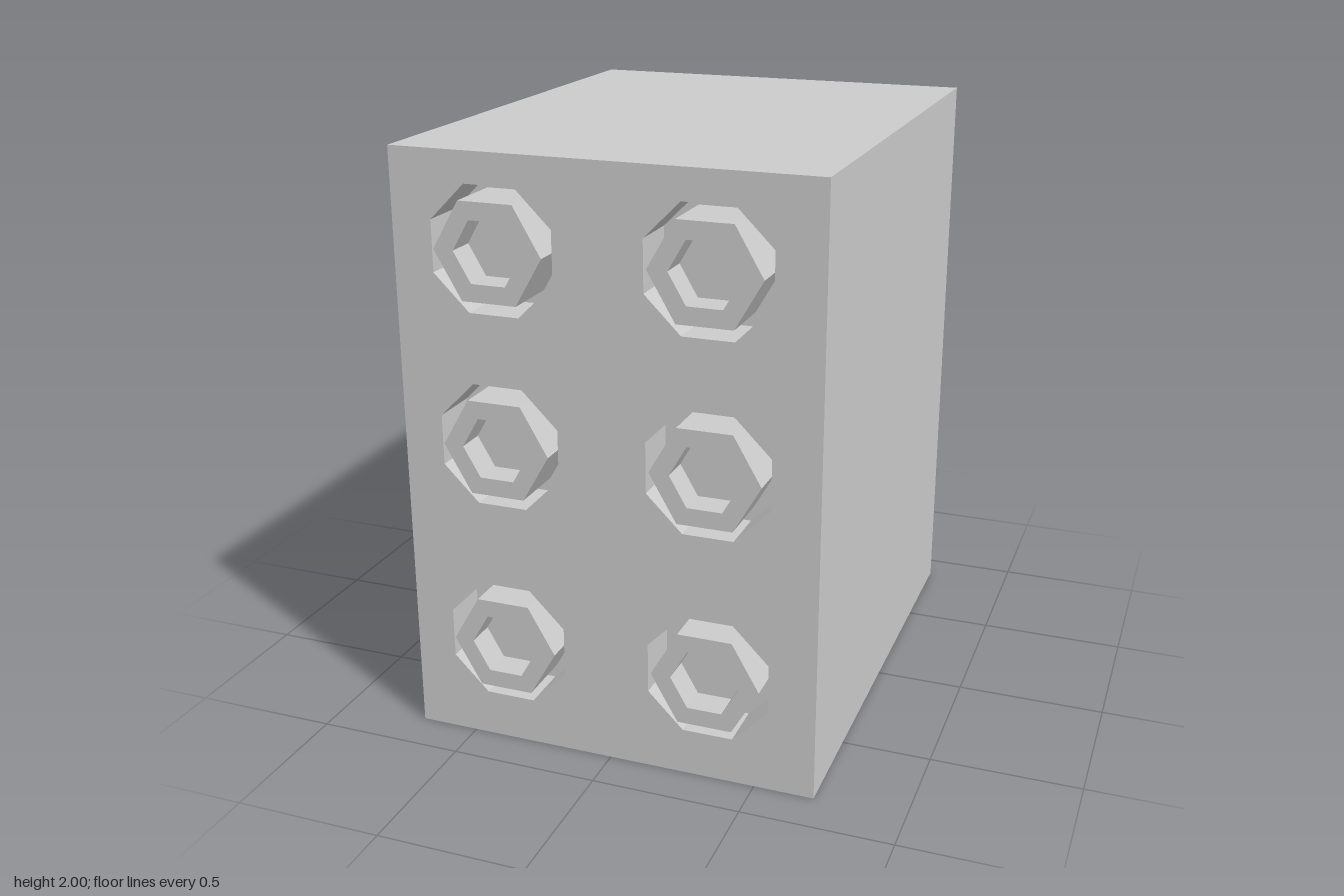
import * as THREE from 'three';

const W = 1.4, H = 2, FRONT = 0.85, BACK = -0.88, DEPTH = FRONT - BACK;
const CUP_R = 0.22, NUT_R = 0.182, BORE_R = 0.115;
const CUP_DEPTH = 0.17, NUT_FRONT = 0.88, NUT_BACK = 0.705, BORE_FLOOR = 0.78;

const mat = new THREE.MeshStandardMaterial({ color: 0xcccccc, flatShading: true, side: THREE.DoubleSide });

// Corners of a regular polygon around (cx, cy)
function ring(sides, r, turn = 0, cx = 0, cy = 0) {
  return Array.from({ length: sides }, (_, i) => {
    const a = turn + (i / sides) * Math.PI * 2;
    return new THREE.Vector2(cx + r * Math.cos(a), cy + r * Math.sin(a));
  });
}
const octagon = (cx, cy) => ring(8, CUP_R, Math.PI / 8, cx, cy);
const hexagon = (r) => ring(6, r);

function shape(outer, ...holes) {
  const s = new THREE.Shape(outer);
  holes.forEach((h) => s.holes.push(new THREE.Path(h)));
  return s;
}

function add(parent, name, geometry, x = 0, y = 0, z = 0) {
  const mesh = new THREE.Mesh(geometry, mat);
  mesh.name = name;
  mesh.position.set(x, y, z);
  parent.add(mesh);
  return mesh;
}

// Octagonal socket sunk into the front wall, holding a bored hexagonal nut
function socket(x, y) {
  const g = new THREE.Group();
  g.name = 'socket';
  g.position.set(x, y, 0);

  const wall = new THREE.CylinderGeometry(CUP_R, CUP_R, CUP_DEPTH, 8, 1, true);
  wall.rotateY(Math.PI / 8).rotateX(Math.PI / 2);
  add(g, 'socketWall', wall, 0, 0, FRONT - CUP_DEPTH / 2);

  const floorZ = FRONT - CUP_DEPTH;
  add(g, 'socketFloor', new THREE.ShapeGeometry(shape(octagon(0, 0), hexagon(NUT_R))), 0, 0, floorZ);

  // Short hexagonal rim joining the socket floor to the back of the nut
  const rim = new THREE.CylinderGeometry(NUT_R, NUT_R, NUT_BACK - floorZ, 6, 1, true);
  rim.rotateY(Math.PI / 6).rotateX(Math.PI / 2);
  rim.rotateZ(0);
  // align a corner with the x axis, as on the nut
  add(g, 'socketRim', rim, 0, 0, (NUT_BACK + floorZ) / 2);

  const extrude = (s, depth) => new THREE.ExtrudeGeometry(s, { depth, bevelEnabled: false });
  add(g, 'nutBase', extrude(shape(hexagon(NUT_R)), BORE_FLOOR - NUT_BACK), 0, 0, NUT_BACK);
  add(g, 'nutCollar', extrude(shape(hexagon(NUT_R), hexagon(BORE_R)), NUT_FRONT - BORE_FLOOR), 0, 0, BORE_FLOOR);
  return g;
}

export function createModel() {
  const model = new THREE.Group();
  model.name = 'socketBox';
  const columns = [-0.362, 0.34], rows = [0.36, 1.055, 1.695];
  const spots = columns.flatMap((x) => rows.map((y) => [x, y]));

  // Front wall with octagonal openings
  const outline = [[-W / 2, 0], [W / 2, 0], [W / 2, H], [-W / 2, H]].map(([x, y]) => new THREE.Vector2(x, y));
  add(model, 'frontWall', new THREE.ShapeGeometry(shape(outline, ...spots.map(([x, y]) => octagon(x, y)))), 0, 0, FRONT);

  // Thin shell, open underneath
  const midZ = (FRONT + BACK) / 2;
  add(model, 'backWall', new THREE.PlaneGeometry(W, H).rotateY(Math.PI), 0, H / 2, BACK);
  add(model, 'top', new THREE.PlaneGeometry(W, DEPTH).rotateX(-Math.PI / 2), 0, H, midZ);
  for (const side of [-1, 1]) {
    const panel = new THREE.PlaneGeometry(DEPTH, H).rotateY((side * Math.PI) / 2);
    add(model, side > 0 ? 'leftWall' : 'rightWall', panel, (side * W) / 2, H / 2, midZ);
  }

  spots.forEach(([x, y]) => model.add(socket(x, y)));
  return model;
}
